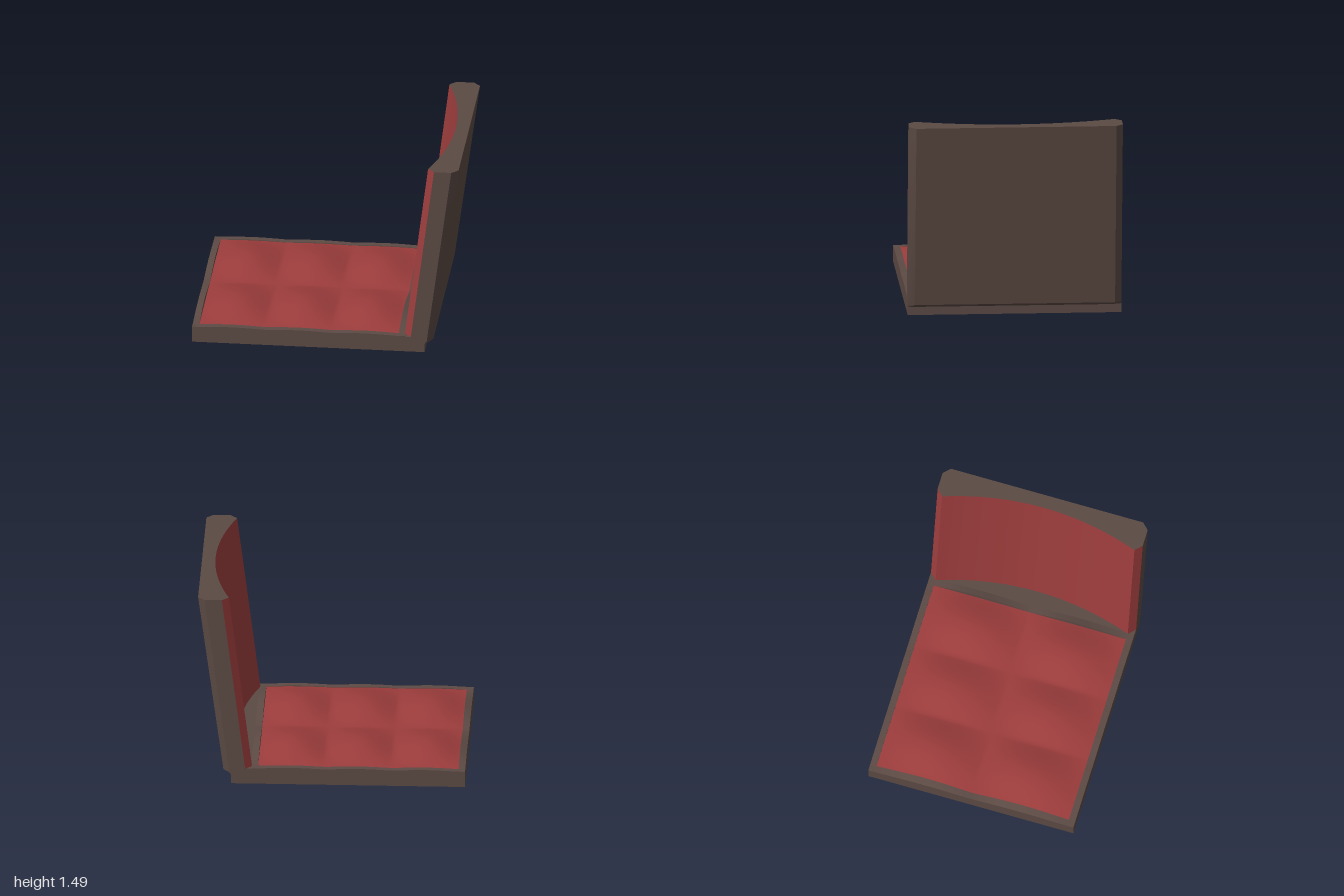
import * as THREE from 'three';
import { toCreasedNormals } from 'three/addons/utils/BufferGeometryUtils.js';

const brown = new THREE.MeshStandardMaterial({ color: 0x5c4a44, side: THREE.DoubleSide });
const red = new THREE.MeshStandardMaterial({ color: 0x9c3c3c, side: THREE.DoubleSide });

const SEAT = { x0: -0.95, x1: 0.55, z: 0.75, top: 0.12 };
// Tuft waves: three swellings along x, two along z
const puff = (t) => Math.pow(Math.abs(Math.sin(Math.PI * t)), 1.2);
const waveX = (x) => puff(THREE.MathUtils.clamp((x - SEAT.x0) / 0.5, 0, 3));
const waveZ = (z) => puff(THREE.MathUtils.clamp(z / 0.75, -1, 1));

function add(group, name, geometry, material) {
  const mesh = new THREE.Mesh(geometry, material);
  mesh.name = name;
  group.add(mesh);
}

// Box given by its x and z limits, with its top following a height rule
function railBox(x0, x1, z0, z1, topRule) {
  const geo = new THREE.BoxGeometry(x1 - x0, 0.04, z1 - z0,
    x1 - x0 > 0.2 ? 60 : 1, 1, z1 - z0 > 0.2 ? 60 : 1);
  geo.translate((x0 + x1) / 2, 0.1, (z0 + z1) / 2);
  const p = geo.attributes.position;
  for (let i = 0; i < p.count; i++) {
    if (p.getY(i) > 0.1) p.setY(i, topRule(p.getX(i), p.getZ(i)));
  }
  geo.computeVertexNormals();
  return geo;
}

// Surface between two edges, each sampled at the same z stations
function strip(out, a, b) {
  for (let i = 0; i + 1 < a.length; i++) {
    out.push(a[i], a[i + 1], b[i + 1], a[i], b[i + 1], b[i]);
  }
}

function toGeometry(points) {
  const geo = new THREE.BufferGeometry().setFromPoints(points);
  return toCreasedNormals(geo, 0.4);
}

function buildBackrest() {
  const group = new THREE.Group();
  group.name = 'backrest';
  // z stations: chamfered edge, curved middle, chamfered edge
  const zs = [-0.8];
  for (let i = 0; i <= 32; i++) zs.push(-0.75 + 1.5 * i / 32);
  zs.push(0.8);
  const isEdge = (z) => Math.abs(z) > 0.76;
  const hollow = (z, depth) => isEdge(z) ? 0.05 : depth * (1 - (z / 0.75) ** 2);
  const edge = (fx, y) => zs.map((z) => new THREE.Vector3(fx(z), y, z));

  const frontLow = edge((z) => 0.59 + hollow(z, 0.13), 0.075);
  const frontTop = edge((z) => 0.77 + hollow(z, 0.13), 1.49);
  const backTop = edge((z) => isEdge(z) ? 0.95 : 1, 1.49);
  const backLow = edge((z) => isEdge(z) ? 0.765 : 0.81, 0.09);
  const under = edge(() => 0.745, 0.06);

  const pad = [];
  strip(pad, frontLow, frontTop);
  add(group, 'backrestPad', toGeometry(pad), red);

  const shell = [];
  const loop = [frontTop, backTop, backLow, under, frontLow];
  for (let i = 0; i + 1 < loop.length; i++) strip(shell, loop[i], loop[i + 1]);
  // Flat ends
  const last = zs.length - 1;
  for (let i = 1; i + 1 < loop.length; i++) {
    shell.push(loop[0][0], loop[i][0], loop[i + 1][0]);
    shell.push(loop[0][last], loop[i + 1][last], loop[i][last]);
  }
  add(group, 'backrestShell', toGeometry(shell), brown);
  return group;
}

function buildCushion() {
  const geo = new THREE.PlaneGeometry(1.5, 1.5, 72, 72);
  geo.rotateX(-Math.PI / 2);
  geo.translate((SEAT.x0 + SEAT.x1) / 2, 0, 0);
  const p = geo.attributes.position;
  for (let i = 0; i < p.count; i++) {
    const a = waveX(p.getX(i));
    const b = waveZ(p.getZ(i));
    p.setY(i, SEAT.top + 0.002 + 0.005 * (a + b) + 0.053 * a * b);
  }
  geo.computeVertexNormals();
  return geo;
}

export function createModel() {
  const model = new THREE.Group();
  model.name = 'floorSeat';

  // Solid base slab
  const base = new THREE.BoxGeometry(1.75, 0.12, 1.6);
  base.translate(-0.125, 0.06, 0);
  add(model, 'base', base, brown);

  // Tufted seat cushion
  add(model, 'seatCushion', buildCushion(), red);

  // End rails rise toward the cushion and roll with its swellings
  add(model, 'frontRail', railBox(-1, -0.95, -0.8, 0.8,
    (x, z) => 0.124 + (x < -0.97 ? 0.016 : 0.034) * waveZ(z)), brown);
  add(model, 'rearRail', railBox(0.55, 0.6, -0.8, 0.8,
    (x, z) => 0.124 + (x > 0.57 ? 0.03 : 0.046) * waveZ(z)), brown);

  // Low side rails
  for (const s of [-1, 1]) {
    const z0 = s < 0 ? -0.8 : 0.75;
    add(model, s < 0 ? 'rightRail' : 'leftRail', railBox(-0.95, 0.55, z0, z0 + 0.05,
      (x) => 0.124 + 0.008 * waveX(x)), brown);
  }

  model.add(buildBackrest());
  return model;
}
